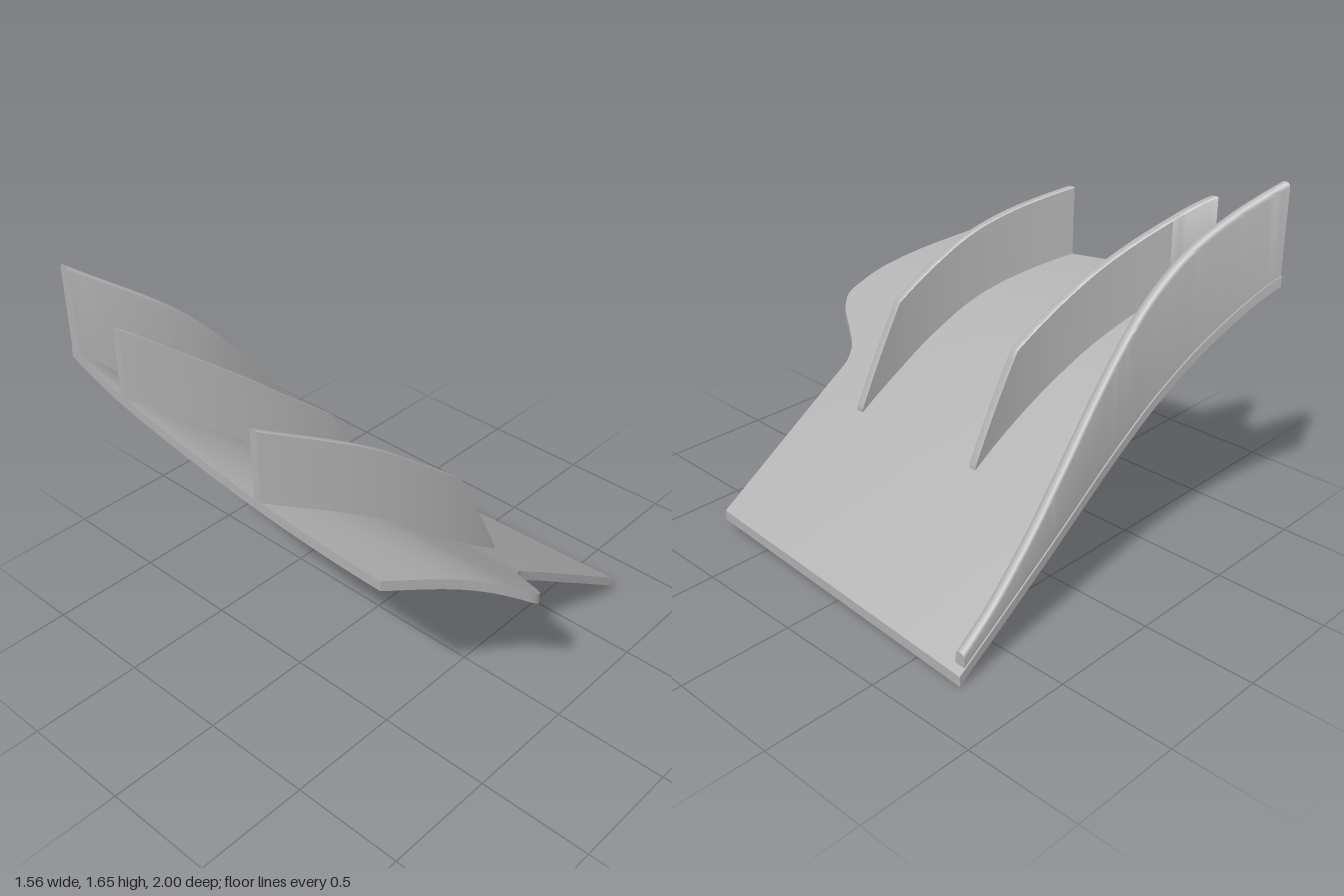
import * as THREE from 'three';
import { toCreasedNormals } from 'three/addons/utils/BufferGeometryUtils.js';

// Smooth monotone curve through [x, value] points
function curve(pts) {
  const n = pts.length;
  const slope = (i) => (pts[i + 1][1] - pts[i][1]) / (pts[i + 1][0] - pts[i][0]);
  const tangent = (i) => {
    if (i === 0) return slope(0);
    if (i === n - 1) return slope(n - 2);
    const a = slope(i - 1), b = slope(i);
    return a * b <= 0 ? 0 : (2 * a * b) / (a + b);
  };
  return (x) => {
    let i = 0;
    while (i < n - 2 && x > pts[i + 1][0]) i++;
    const h = pts[i + 1][0] - pts[i][0];
    const t = THREE.MathUtils.clamp((x - pts[i][0]) / h, 0, 1);
    const t2 = t * t, t3 = t2 * t;
    return (2 * t3 - 3 * t2 + 1) * pts[i][1] + (t3 - 2 * t2 + t) * h * tangent(i)
      + (3 * t2 - 2 * t3) * pts[i + 1][1] + (t3 - t2) * h * tangent(i + 1);
  };
}

// Outline of the plate (z along x) and its top height along both edges
const frontZ = curve([[-0.78, 0.72], [-0.5, 0.865], [-0.3, 0.975], [-0.23, 1], [-0.17, 0.965],
  [-0.1, 0.86], [-0.03, 0.765], [0.04, 0.735], [0.78, 0.735]]);
const backZ = curve([[-0.78, -1.025], [-0.75, -1], [-0.6, -0.9], [-0.4, -0.81], [-0.2, -0.76],
  [0, -0.742], [0.1, -0.74], [0.78, -0.74]]);
const frontY = curve([[-0.78, 1.04], [-0.55, 0.972], [-0.4, 0.907], [-0.2, 0.772], [0, 0.62],
  [0.2, 0.487], [0.75, 0.12], [0.78, 0.1]]);
const backY = curve([[-0.78, 1.3], [-0.75, 1.28], [-0.6, 1.14], [-0.4, 0.95], [-0.2, 0.765],
  [0, 0.6], [0.2, 0.45], [0.4, 0.31], [0.78, 0.05]]);

function surfaceY(x, z) {
  const v = THREE.MathUtils.clamp((frontZ(x) - z) / (frontZ(x) - backZ(x)), 0, 1);
  const power = 1.85 - 0.85 * THREE.MathUtils.smoothstep(x, -0.4, 0.3);
  return THREE.MathUtils.lerp(frontY(x), backY(x), Math.pow(v, power));
}

// Solid through a row of closed rings, with capped ends
function loft(rings) {
  const pos = [];
  const tri = (...p) => p.forEach((q) => pos.push(...q));
  const n = rings[0].length;
  for (let i = 0; i < rings.length - 1; i++) {
    for (let j = 0; j < n; j++) {
      const k = (j + 1) % n;
      const a = rings[i][j], b = rings[i][k], c = rings[i + 1][j], d = rings[i + 1][k];
      tri(a, c, b);
      tri(c, d, b);
    }
  }
  const first = rings[0], last = rings[rings.length - 1];
  for (let j = 0; j < n / 2 - 1; j++) {
    const k = n - 1 - j;
    tri(first[j], first[j + 1], first[k - 1]);
    tri(first[j], first[k - 1], first[k]);
    tri(last[j], last[k - 1], last[j + 1]);
    tri(last[j], last[k], last[k - 1]);
  }
  const geo = new THREE.BufferGeometry();
  geo.setAttribute('position', new THREE.Float32BufferAttribute(pos, 3));
  return toCreasedNormals(geo, 0.6);
}

function plateGeometry() {
  const rings = [], nu = 96, nv = 28, thick = 0.045;
  for (let i = 0; i <= nu; i++) {
    const top = [];
    for (let j = 0; j <= nv; j++) {
      const v = j / nv;
      const left = -0.78 + 0.03 * Math.max(0, (v - 0.75) / 0.25) ** 2;
      const x = THREE.MathUtils.lerp(left, 0.75 + 0.03 * v, i / nu);
      const z = THREE.MathUtils.lerp(frontZ(x), backZ(x), v);
      top.push([x, surfaceY(x, z), z]);
    }
    rings.push([...top, ...top.map(([x, y, z]) => [x, y - thick, z]).reverse()]);
  }
  return loft(rings);
}

// Upright fin following centreZ(x), its top edge rounded by `round`
function finGeometry(xs, centreZ, topY, width, round) {
  return loft(xs.map((x) => {
    const z = centreZ(x), top = topY(x, z), h = width / 2;
    const ring = [[x, surfaceY(x, z + h) - 0.025, z + h]];
    for (let k = 0; k <= 7; k++) {
      const a = (k / 7) * Math.PI;
      ring.push([x, top - round + round * Math.sin(a), z + h * Math.cos(a)]);
    }
    ring.push([x, surfaceY(x, z - h) - 0.025, z - h]);
    return ring;
  }));
}

const range = (a, b, n) => Array.from({ length: n + 1 }, (_, i) => a + ((b - a) * i) / n);

export function createModel() {
  const group = new THREE.Group();
  const grey = new THREE.MeshStandardMaterial({ color: 0xb0b0b0 });
  grey.name = 'grey';
  const add = (name, geo) => {
    const mesh = new THREE.Mesh(geo, grey);
    mesh.name = name;
    group.add(mesh);
  };

  // Curved, sloping base plate
  add('basePlate', plateGeometry());

  // Two short fins with a straight taper at the low end
  const finXs = [...range(-0.78, -0.04, 32), ...range(-0.02, 0.18, 8)];
  const finTop = (x, z) => {
    if (x <= -0.04) return surfaceY(x, z) + 0.315;
    const t = (x + 0.04) / 0.22;
    return THREE.MathUtils.lerp(surfaceY(-0.04, z) + 0.315, surfaceY(0.18, z) + 0.018, t);
  };
  const fins = [['frontFin', 0.475, 0.365], ['middleFin', -0.217, 0.423]];
  for (const [name, z0, sweep] of fins) {
    const path = (x) => z0 - sweep * ((0.18 - x) / 0.96) ** 2;
    add(name, finGeometry(finXs, path, finTop, 0.035, 0.004));
  }

  // Long fin along the back edge
  const rearTop = curve([[-0.75, 1.66], [-0.4, 1.41], [-0.2, 1.21], [0, 0.96], [0.2, 0.7],
    [0.4, 0.455], [0.6, 0.25], [0.75, 0.13]]);
  add('rearFin', finGeometry(range(-0.75, 0.75, 72), (x) => backZ(x) + 0.029, rearTop, 0.046, 0.02));

  return group;
}
